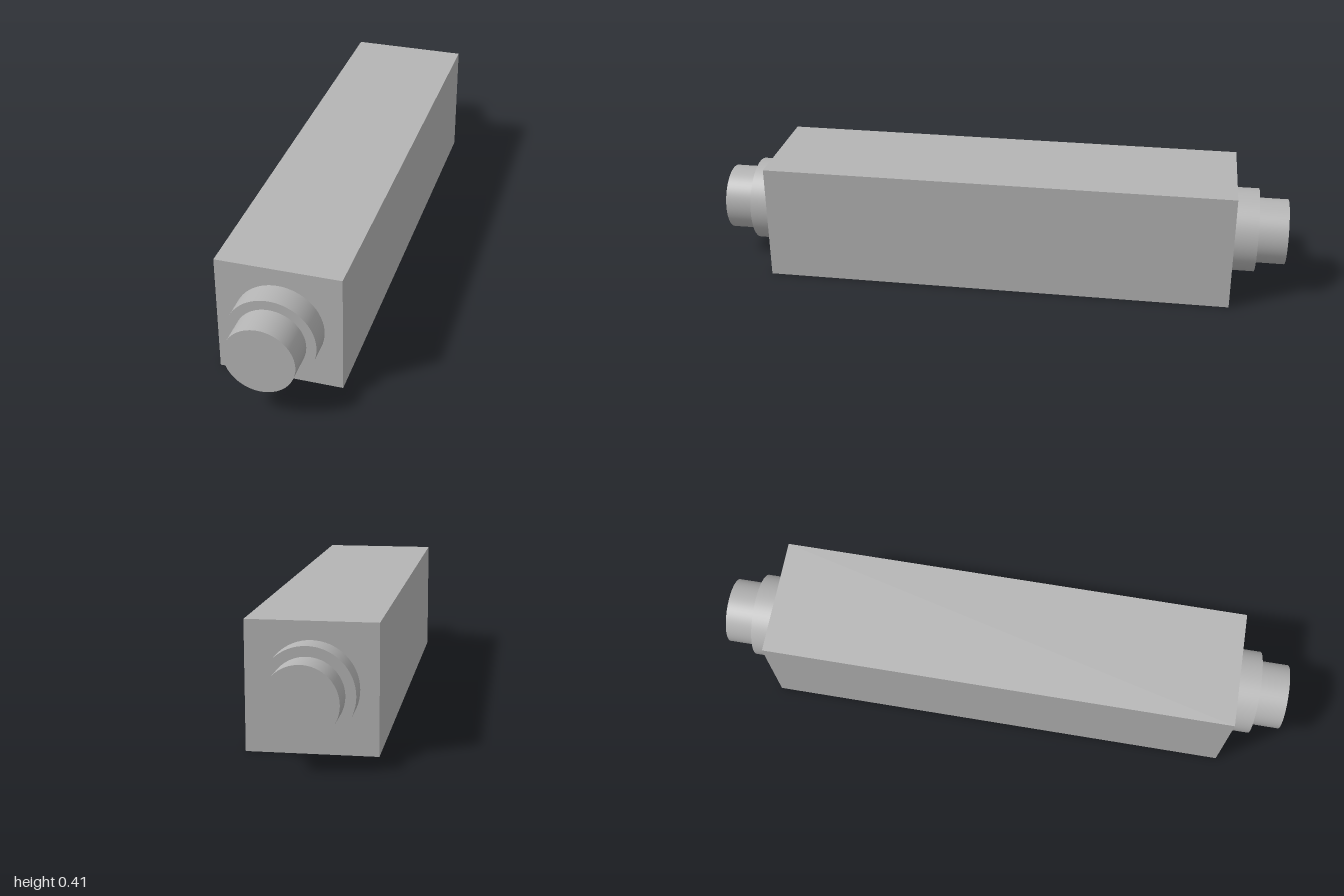
import * as THREE from 'three';

export function createModel() {
  const model = new THREE.Group();
  const grey = new THREE.MeshStandardMaterial({ color: 0xb4b4b4 });
  grey.name = 'plain grey';

  const size = 0.408;      // square section of the bar
  const axisY = size / 2;  // height of the shaft axis
  const bodyEnd = 0.815, collarEnd = 0.897, journalEnd = 1;

  // Square bar
  const body = new THREE.Mesh(new THREE.BoxGeometry(size, size, 2 * bodyEnd), grey);
  body.name = 'squareBody';
  body.position.y = axisY;
  model.add(body);

  // Round step along z, from one distance to another
  function roundStep(name, radius, from, to) {
    const geometry = new THREE.CylinderGeometry(radius, radius, to - from, 64);
    geometry.rotateX(Math.PI / 2);
    const mesh = new THREE.Mesh(geometry, grey);
    mesh.name = name;
    mesh.position.z = (from + to) / 2;
    return mesh;
  }

  // Stepped shaft end, repeated at front and back
  for (const [name, turn] of [['frontShaftEnd', 0], ['backShaftEnd', Math.PI]]) {
    const end = new THREE.Group();
    end.name = name;
    end.add(
      roundStep('collar', 0.146, bodyEnd, collarEnd),
      roundStep('journal', 0.114, collarEnd, journalEnd)
    );
    end.position.y = axisY;
    end.rotation.y = turn;
    model.add(end);
  }

  return model;
}
